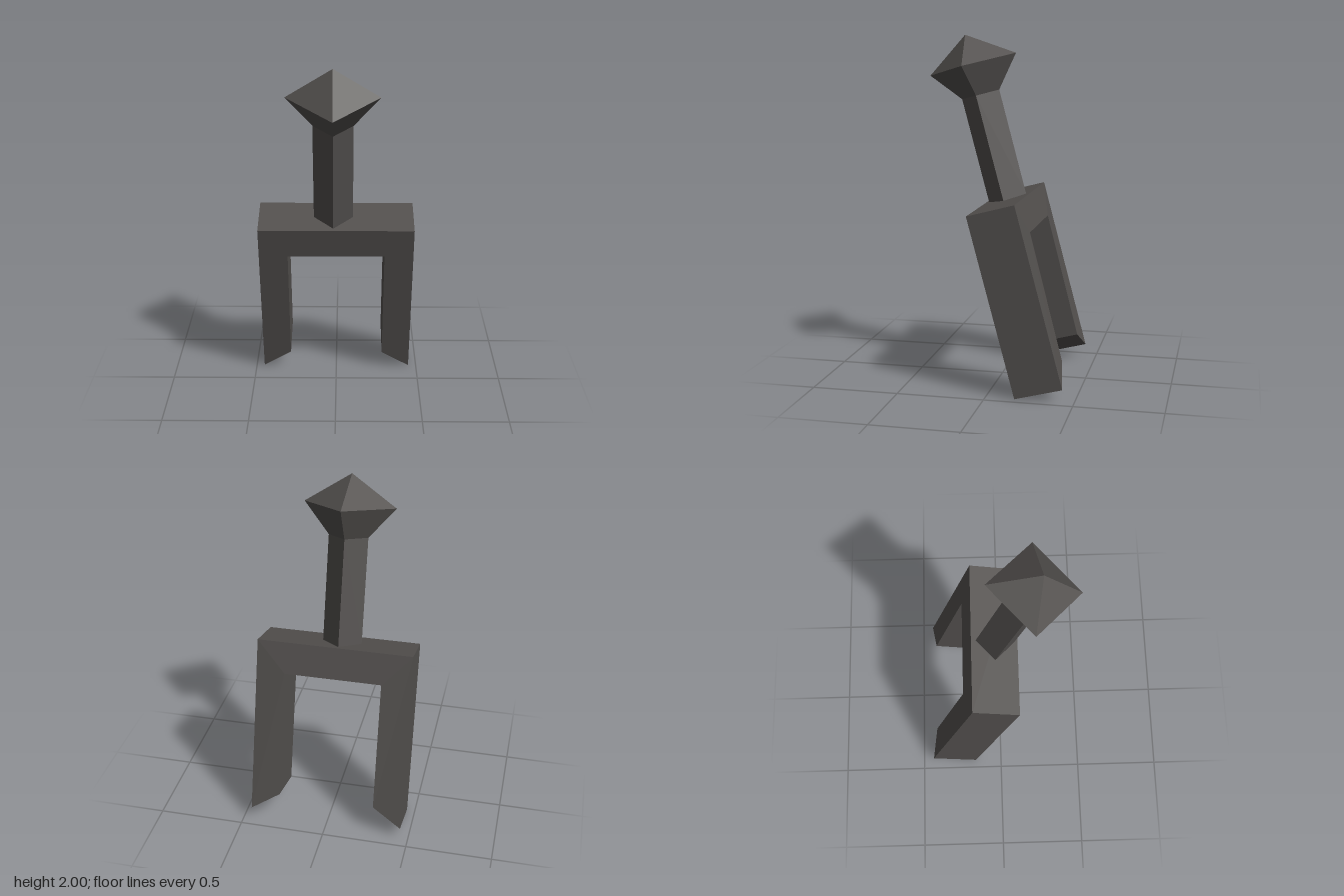
import * as THREE from 'three';

export function createModel() {
  const model = new THREE.Group();
  model.name = 'leaningFork';
  const darkGrey = new THREE.MeshStandardMaterial({ color: 0x53504e, flatShading: true });
  darkGrey.name = 'darkGrey';

  // Everything leans forward together
  const leaning = new THREE.Group();
  leaning.name = 'leaningBody';
  leaning.position.set(0, 0.005, -0.165);
  leaning.rotation.x = THREE.MathUtils.degToRad(14.9);
  model.add(leaning);

  // Two-pronged frame with tips cut on a slant
  const outer = 0.452, inner = 0.283, barBottom = 0.87, depth = 0.279;
  const outline = [
    [-outer, 0], [-inner, 0.112], [-inner, barBottom], [inner, barBottom],
    [inner, 0.112], [outer, 0], [outer, 1.056], [-outer, 1.056],
  ].map(([x, y]) => new THREE.Vector2(x, y));
  const frameGeometry = new THREE.ExtrudeGeometry(new THREE.Shape(outline), { depth, bevelEnabled: false });
  frameGeometry.translate(0, 0, -depth);
  // Inner corners at the back bulge slightly
  const p = frameGeometry.attributes.position;
  for (let i = 0; i < p.count; i++) {
    if (p.getZ(i) < -0.1 && Math.abs(p.getY(i) - barBottom) < 1e-4) p.setZ(i, -depth - 0.007);
  }
  frameGeometry.computeVertexNormals();
  const frame = new THREE.Mesh(frameGeometry, darkGrey);
  frame.name = 'prongFrame';
  leaning.add(frame);

  // Four-sided handle flaring into a pointed pommel
  const profile = [[0, 1.056], [0.114, 1.056], [0.114, 1.677], [0.263, 1.855], [0, 2.029]]
    .map(([r, y]) => new THREE.Vector2(r, y));
  const handle = new THREE.Mesh(new THREE.LatheGeometry(profile, 4), darkGrey);
  handle.name = 'handleAndPommel';
  handle.position.set(-0.016, 0, -0.137);
  leaning.add(handle);

  return model;
}
